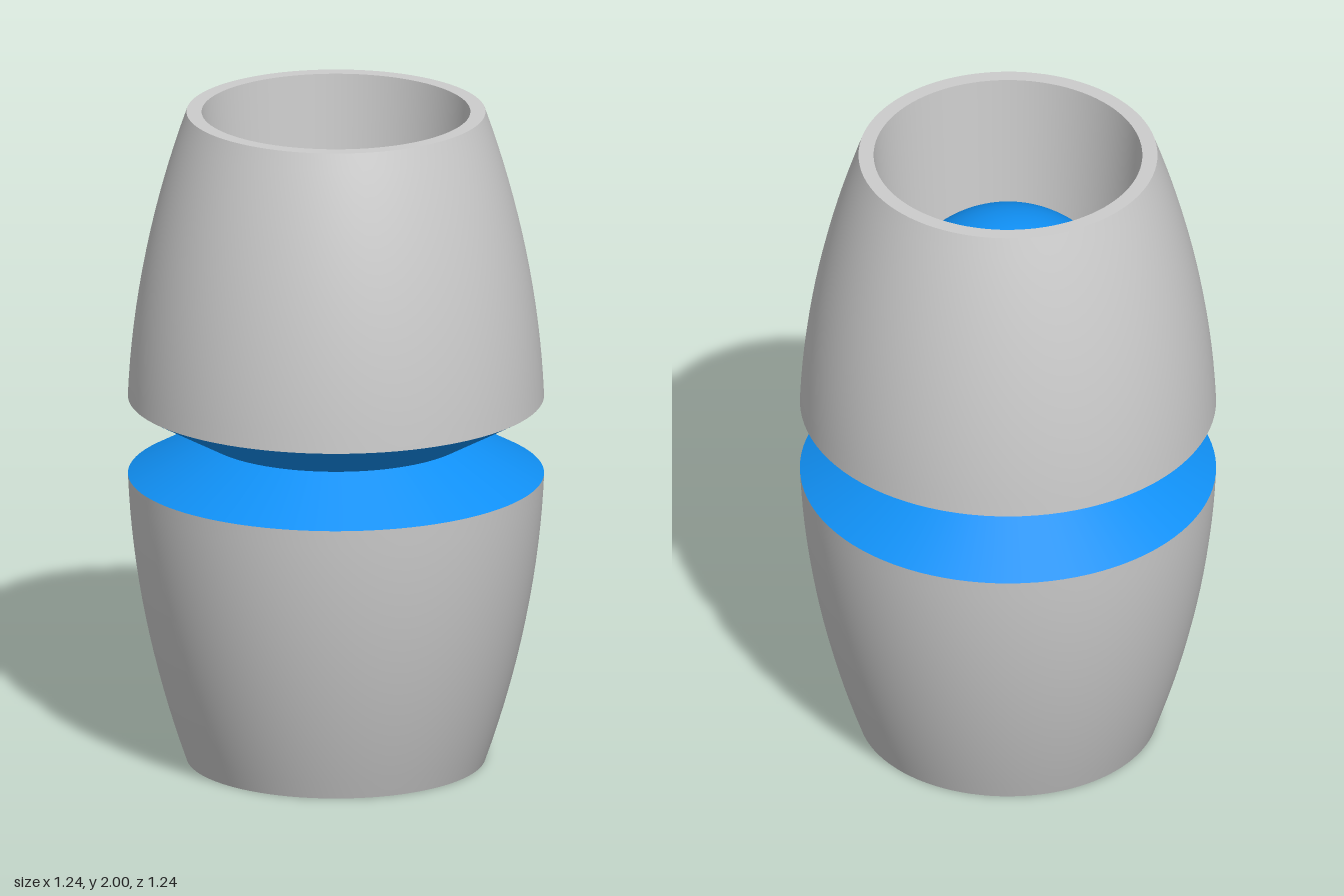
import * as THREE from 'three';

const grey = new THREE.MeshStandardMaterial({ color: 0xcccccc });
const blue = new THREE.MeshStandardMaterial({ color: 0x1090f5 });
const SEGMENTS = 96;

// Revolved surface; points running upward face outward.
function revolve(name, points, material) {
  const profile = points.map(([r, y]) => new THREE.Vector2(r, y));
  const mesh = new THREE.Mesh(new THREE.LatheGeometry(profile, SEGMENTS), material);
  mesh.name = name;
  return mesh;
}

// One barrel half, measured from the groove apex (y = 0) to its open end (y = 1).
function barrelHalf(name) {
  const half = new THREE.Group();
  half.name = name;
  const wall = [];
  for (let i = 0; i <= 16; i++) {
    const y = 0.12 + (0.88 * i) / 16;
    wall.push([0.622 - 0.177 * y * y, y]);
  }
  half.add(
    revolve('outerWall', wall, grey),
    revolve('endRim', [[0.445, 1], [0.4, 1]], grey),
    revolve('bore', [[0.4, 1], [0.36, 0.4]], grey),
    revolve('grooveFace', [[0.4, 0], [wall[0][0], 0.12]], blue)
  );
  // Domed end of the core inside the bore
  const dome = new THREE.Mesh(
    new THREE.SphereGeometry(0.36, SEGMENTS, 24, 0, Math.PI * 2, 0, Math.PI / 2), blue);
  dome.name = 'coreDome';
  dome.position.y = 0.4;
  half.add(dome);
  return half;
}

export function createModel() {
  const model = new THREE.Group();
  model.name = 'groovedBarrel';

  const upper = barrelHalf('upperHalf');
  upper.position.y = 1;

  const lower = barrelHalf('lowerHalf');
  lower.rotation.x = Math.PI;
  lower.position.y = 1;

  model.add(upper, lower);
  return model;
}
